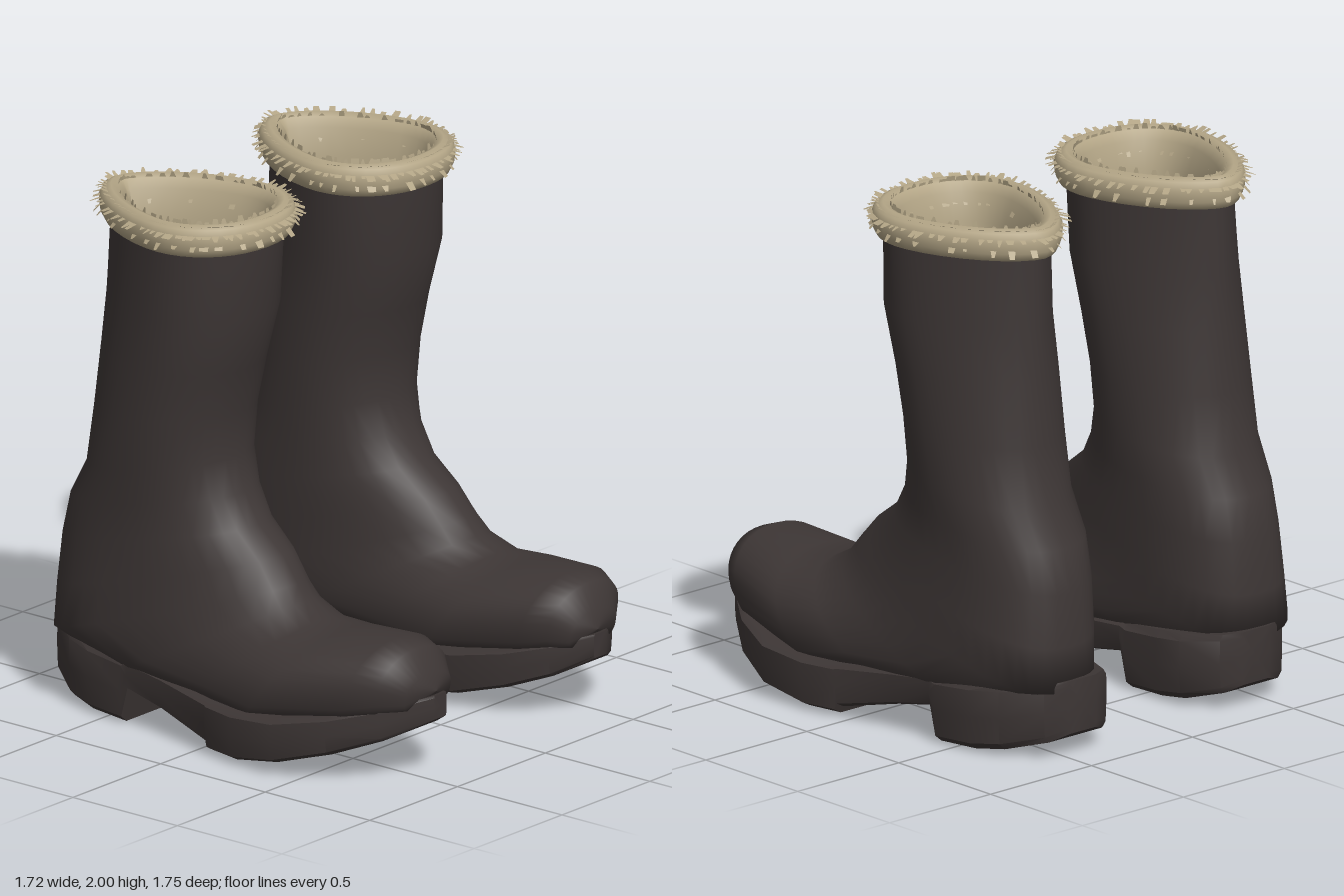
import * as THREE from 'three';
import { toCreasedNormals } from 'three/addons/utils/BufferGeometryUtils.js';

const N = 36;

function indexedGeometry(pos, idx) {
  const g = new THREE.BufferGeometry();
  g.setAttribute('position', new THREE.Float32BufferAttribute(pos, 3));
  g.setIndex(idx);
  g.computeVertexNormals();
  return g;
}

// Skin a list of closed rings; side = -1 mirrors across x and keeps faces outward
function loft(rings, side) {
  const n = rings[0].length, pos = [], idx = [];
  for (const ring of rings) for (const p of ring) pos.push(p[0] * side, p[1], p[2]);
  for (let i = 0; i < rings.length - 1; i++) {
    for (let j = 0; j < n; j++) {
      const k = (j + 1) % n, a = i * n + j, b = i * n + k, c = a + n, d = b + n;
      if (side > 0) idx.push(a, b, c, b, d, c);
      else idx.push(a, c, b, b, c, d);
    }
  }
  return indexedGeometry(pos, idx);
}

// Boot sections from rim to toe: front z, y, back z, y, inner x, outer x
const SECTIONS = [
  [0.03, 1.9, -0.67, 1.9, 0.17, 0.735],
  [0.02, 1.6, -0.67, 1.6, 0.175, 0.745],
  [-0.04, 1.38, -0.68, 1.4, 0.18, 0.74],
  [-0.08, 1.2, -0.7, 1.15, 0.185, 0.74],
  [-0.09, 1.03, -0.73, 0.92, 0.19, 0.735],
  [-0.05, 0.9, -0.81, 0.78, 0.195, 0.725],
  [0.02, 0.79, -0.845, 0.62, 0.2, 0.725],
  [0.14, 0.7, -0.86, 0.42, 0.2, 0.74],
  [0.22, 0.61, -0.86, 0.25, 0.205, 0.755],
  [0.26, 0.55, -0.5, 0.16, 0.2, 0.77],
  [0.35, 0.5, -0.1, 0.15, 0.2, 0.79],
  [0.48, 0.5, 0.2, 0.13, 0.19, 0.83],
  [0.72, 0.52, 0.62, 0.19, 0.25, 0.75],
  [0.8, 0.49, 0.74, 0.23, 0.29, 0.69],
  [0.85, 0.4, 0.82, 0.26, 0.34, 0.6],
  [0.865, 0.33, 0.865, 0.33, 0.46, 0.46],
];

// Egg-shaped at the rim, growing squarer and wider at the back or bottom towards the toe
function sectionRing([fz, fy, bz, by, xi, xo], i) {
  const widest = Math.max(0.41, 0.64 - 0.026 * i);
  const squareness = Math.min(3, 1.6 + 0.13 * i);
  return Array.from({ length: N }, (_, j) => {
    const a = (j / N) * Math.PI * 2, c = Math.cos(a), s = Math.sin(a);
    const e = 2 / (s > 0 ? 2.15 : squareness);
    const x = Math.sign(c) * Math.abs(c) ** e, v = Math.abs(s) ** e;
    const t = s > 0 ? widest + (1 - widest) * v : widest * (1 - v);
    return [(xi + xo) / 2 + x * (xo - xi) / 2, by + (fy - by) * t, bz + (fz - bz) * t];
  });
}

// Sole stations: z, inner x, outer x, bottom y; the heel block ends at z = -0.38
const SOLE = [
  [-0.875, 0.36, 0.5, 0.09],
  [-0.84, 0.28, 0.59, 0.065],
  [-0.7, 0.205, 0.69, 0.025],
  [-0.58, 0.195, 0.73, 0.008],
  [-0.41, 0.2, 0.745, 0],
  [-0.38, 0.2, 0.745, 0.13],
  [-0.2, 0.205, 0.765, 0.095],
  [0.05, 0.2, 0.815, 0.035],
  [0.06, 0.2, 0.82, 0.01],
  [0.2, 0.18, 0.85, 0.01],
  [0.4, 0.17, 0.86, 0.045],
  [0.6, 0.225, 0.78, 0.1],
  [0.76, 0.305, 0.665, 0.16],
  [0.88, 0.42, 0.49, 0.23],
];
const SOLE_EDGE = [[1, 0.5], [0.995, 0.9], [0.95, 1], [0.05, 1], [0.005, 0.9], [0, 0.5],
  [0.015, 0.1], [0.07, 0], [0.93, 0], [0.985, 0.1]];

function soleGeometry(side) {
  const rings = SOLE.map(([z, xi, xo, yb]) => {
    // The welt rises gently to the heel and curls up at the toe
    const yt = z < 0.1 ? 0.2 + 0.095 * (0.1 - z) : 0.2 + 0.2 * (z - 0.1) ** 2;
    return SOLE_EDGE.map(([u, v]) => [xi + (xo - xi) * u, yb + (yt - yb) * v, z]);
  });
  const cap = (r) => r.map(() => [(r[0][0] + r[5][0]) / 2, r[0][1], r[0][2]]);
  const closed = [cap(rings[0]), ...rings, cap(rings[rings.length - 1])];
  return toCreasedNormals(loft(closed, side), 0.7);
}

// Shaft rim with its outward directions, shared by the cuff and its tufts
const rim = sectionRing(SECTIONS[0], 0);
const outward = rim.map((_, j) => {
  const a = rim[(j + N - 1) % N], b = rim[(j + 1) % N];
  const dx = b[0] - a[0], dz = b[2] - a[2], l = Math.hypot(dx, dz);
  return [dz / l, -dx / l];
});
const offsetRing = (d, y) => rim.map((p, j) => [p[0] + outward[j][0] * d, y, p[2] + outward[j][1] * d]);

// Lining wall, rounded top and outer roll of the cuff
function cuffGeometry(side) {
  const profile = [[-0.09, 1.7], [-0.08, 1.84], [-0.05, 1.94], [-0.03, 1.975],
    [0, 1.988], [0.03, 1.975], [0.045, 1.945], [0.04, 1.9], [0.025, 1.87], [-0.01, 1.865]];
  return loft(profile.map(([d, y]) => offsetRing(d, y)), side);
}

function liningFloorGeometry(side) {
  return loft([rim.map(() => [0.455, 1.7, -0.3]), offsetRing(-0.085, 1.7)], side);
}

function seeded(seed) {
  return () => (seed = (seed * 16807) % 2147483647) / 2147483647;
}

// Small flat tufts: start offset, start height, outward lean, rise, count
const TUFT_ROWS = [
  [0.04, 1.955, 0.04, -0.012, 64],
  [0.035, 1.92, 0.028, -0.03, 30],
  [0.015, 1.98, 0.03, 0.012, 56],
  [-0.025, 1.975, -0.004, 0.022, 46],
  [-0.05, 1.92, -0.02, -0.03, 30],
];

function tuftGeometry(side) {
  const rand = seeded(77), pos = [], idx = [];
  for (const [d, y, lean, rise, count] of TUFT_ROWS) {
    const base = offsetRing(d, y);
    for (let i = 0; i < count; i++) {
      const f = ((i + rand() * 0.6) / count) * N, j = Math.floor(f) % N, k = (j + 1) % N, t = f % 1;
      const x = base[j][0] * (1 - t) + base[k][0] * t, z = base[j][2] * (1 - t) + base[k][2] * t;
      const [ox, oz] = outward[j];
      const w = 0.008 + rand() * 0.01, len = 0.4 + rand() * 0.7, tip = w * (0.2 + rand() * 0.8);
      const ty = Math.min(2, y + rise * len), q = pos.length / 3;
      const tx = x + ox * lean * len, tz = z + oz * lean * len;
      pos.push((x - oz * w) * side, y, z + ox * w, (x + oz * w) * side, y, z - ox * w);
      pos.push((tx + oz * tip) * side, ty, tz - ox * tip, (tx - oz * tip) * side, ty, tz + ox * tip);
      idx.push(q, q + 1, q + 2, q, q + 2, q + 3);
    }
  }
  return indexedGeometry(pos, idx);
}

export function createModel() {
  const leather = new THREE.MeshStandardMaterial({ color: 0x3d3635 });
  leather.name = 'darkLeather';
  const fur = new THREE.MeshStandardMaterial({ color: 0xb3a586, side: THREE.DoubleSide });
  fur.name = 'creamFur';

  const model = new THREE.Group();
  model.name = 'boots';
  for (const side of [1, -1]) {
    const boot = new THREE.Group();
    boot.name = side > 0 ? 'leftBoot' : 'rightBoot';
    const add = (name, geometry, material) => {
      const mesh = new THREE.Mesh(geometry, material);
      mesh.name = name;
      boot.add(mesh);
    };
    add('upper', loft(SECTIONS.map(sectionRing), side), leather);
    add('soleAndHeel', soleGeometry(side), leather);
    add('furCuff', cuffGeometry(side), fur);
    add('liningFloor', liningFloorGeometry(side), fur);
    add('furTufts', tuftGeometry(side), fur);
    model.add(boot);
  }
  return model;
}
